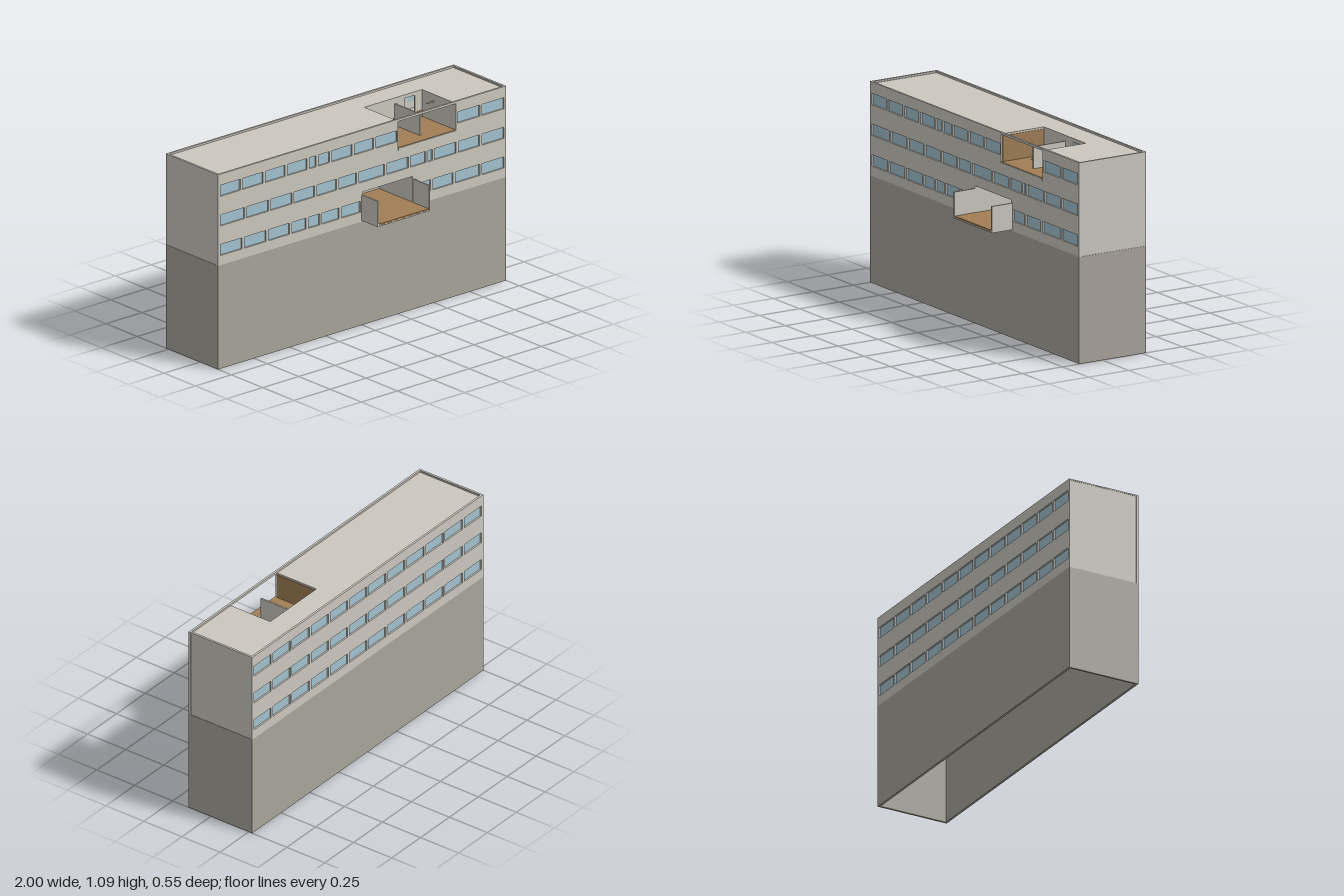
import * as THREE from 'three';

const mat = (name, color) => Object.assign(new THREE.MeshStandardMaterial({ color }), { name });

export function createModel() {
  const wall = mat('pale concrete', 0xcbc7be);
  const stone = mat('grey base', 0xa8a49b);
  const glass = mat('blue glass', 0xa2c1cf);
  const wood = mat('brown floor', 0xa07d54);

  const model = new THREE.Group();
  model.name = 'officeBlock';
  const FRONT = 0.145, BACK = -0.273, T = 0.012, BASE = 0.58, TOP = 1.09, ROOF = 1.08;

  // Box given by its minimum and maximum corners
  function box(name, material, x0, x1, y0, y1, z0, z1, parent = model) {
    const m = new THREE.Mesh(new THREE.BoxGeometry(x1 - x0, y1 - y0, z1 - z0), material);
    m.position.set((x0 + x1) / 2, (y0 + y1) / 2, (z0 + z1) / 2);
    m.name = name;
    parent.add(m);
    return m;
  }
  const rect = (x0, x1, y0, y1, Kind = THREE.Path) => new Kind([
    [x0, y0], [x1, y0], [x1, y1], [x0, y1],
  ].map(p => new THREE.Vector2(...p)));

  // Rectangular ring of wall, open above and below
  function ring(name, material, y0, y1) {
    const s = rect(-1, 1, -FRONT, -BACK, THREE.Shape);
    s.holes.push(rect(-1 + T, 1 - T, -FRONT + T, -BACK - T));
    const g = new THREE.ExtrudeGeometry(s, { depth: y1 - y0, bevelEnabled: false });
    g.rotateX(-Math.PI / 2);
    const m = new THREE.Mesh(g, material);
    m.position.y = y0;
    m.name = name;
    model.add(m);
  }

  // Hollow base, deck, storey slab and parapet
  ring('base', stone, 0, BASE);
  box('deck', wall, -1 + T, 1 - T, BASE - 0.008, BASE + 0.004, BACK + T, FRONT - T);
  box('storeySlab', wall, -1 + T, 1 - T, 0.91, 0.925, BACK + T, FRONT - T);
  ring('parapet', wall, ROOF + 0.003, TOP);

  // Roof slab with a notch over the open room
  const notch = { x0: 0.25, x1: 0.65, z: -0.125 };
  const e = 1 - T, f = FRONT - T, b = BACK + T;
  const roofShape = new THREE.Shape([
    [-e, -f], [notch.x0, -f], [notch.x0, -notch.z], [notch.x1, -notch.z],
    [notch.x1, -f], [e, -f], [e, -b], [-e, -b],
  ].map(p => new THREE.Vector2(...p)));
  const roofGeo = new THREE.ExtrudeGeometry(roofShape, { depth: 0.012, bevelEnabled: false });
  roofGeo.rotateX(-Math.PI / 2);
  const roof = new THREE.Mesh(roofGeo, wall);
  roof.position.y = ROOF - 0.012;
  roof.name = 'roof';
  model.add(roof);

  // Facade sheet pierced by windows and room openings
  function facade(name, z, rows, openings, glassZ) {
    const g = new THREE.Group();
    g.name = name;
    const s = rect(-1, 1, BASE, ROOF + 0.003, THREE.Shape);
    openings.forEach(o => s.holes.push(rect(...o)));
    for (const { y, spans } of rows) {
      for (const piers of spans) {
        for (let i = 0; i < piers.length - 1; i++) {
          const x0 = piers[i] + 0.008, x1 = piers[i + 1] - 0.008;
          s.holes.push(rect(x0, x1, y, y + 0.062));
          box('window', glass, x0, x1, y, y + 0.062, glassZ, glassZ + 0.003, g);
        }
      }
    }
    const sheet = new THREE.Mesh(new THREE.ExtrudeGeometry(s, { depth: T, bevelEnabled: false }), wall);
    sheet.position.z = z;
    sheet.name = 'facadeWall';
    g.add(sheet);
    model.add(g);
  }

  const rowY = [0.966, 0.8, 0.634];
  facade('frontFacade', FRONT - T, [
    { y: rowY[0], spans: [
      [-0.993, -0.838, -0.68, -0.527, -0.375, -0.312, -0.218, -0.063, 0.088, 0.25],
      [0.652, 0.825, 0.993]] },
    { y: rowY[1], spans: [
      [-0.993, -0.81, -0.643, -0.48, -0.323, -0.17, -0.03, 0.163, 0.328, 0.45, 0.495, 0.66, 0.823, 0.993]] },
    { y: rowY[2], spans: [
      [-0.993, -0.826, -0.66, -0.496, -0.382, -0.286, -0.152, -0.005],
      [0.36, 0.483, 0.64, 0.825, 0.993]] },
  ], [[0.25, 0.65, 0.928, 1.078], [0.005, 0.35, 0.598, 0.745]], FRONT - T);

  const even = Array.from({ length: 13 }, (_, i) => -0.993 + i * 1.986 / 12);
  facade('backFacade', BACK, rowY.map(y => ({ y, spans: [even] })), [], BACK + T - 0.003);

  // Slightly recessed end walls
  for (const s of [-1, 1]) {
    const x = s * (1 - T / 2 - 0.002);
    box('endWall', wall, x - T / 2, x + T / 2, BASE, ROOF + 0.003, BACK + T, FRONT - T);
  }

  // Open top room with doorway, partition and brown linings
  const top = new THREE.Group();
  top.name = 'topRoom';
  model.add(top);
  const zb = notch.z, fl = 0.93;
  box('floor', wood, 0.25, 0.65, 0.922, fl, zb, FRONT - 0.002, top);
  box('sill', wall, 0.25, 0.65, 0.915, 0.928, FRONT - T, FRONT + 0.003, top);
  box('leftWall', wall, 0.242, 0.25, 0.92, ROOF - 0.001, zb - 0.008, f, top);
  box('rightWall', wall, 0.65, 0.658, 0.92, ROOF - 0.001, zb - 0.008, f, top);
  box('sideLining', wood, 0.25, 0.253, fl, 1.07, zb, f, top);
  for (const [x0, x1] of [[0.25, 0.53], [0.6, 0.65]]) {
    box('backWall', wall, x0, x1, 0.92, ROOF - 0.001, zb - 0.008, zb, top);
    box('wainscot', wood, x0, x1, fl, 0.966, zb, zb + 0.003, top);
  }
  box('lintel', wall, 0.53, 0.6, 1.06, ROOF - 0.001, zb - 0.008, zb, top);
  box('partition', wall, 0.455, 0.464, fl, 1.05, -0.12, 0.08, top);
  box('floorPlate', wall, 0.3, 0.345, fl, fl + 0.004, -0.025, -0.013, top);
  box('shelf', wall, 0.59, 0.635, 1.045, 1.05, -0.025, -0.013, top);

  // Lower room running out onto a balcony
  const low = new THREE.Group();
  low.name = 'balconyRoom';
  model.add(low);
  box('floor', wood, 0.004, 0.351, 0.592, 0.6, zb, 0.272, low);
  box('floorSlab', wall, -0.005, 0.36, 0.586, 0.592, zb, 0.273, low);
  box('backWall', wall, -0.005, 0.36, 0.592, 0.75, zb - 0.008, zb, low);
  box('ceiling', wall, -0.005, 0.36, 0.745, 0.753, zb, f, low);
  for (const x of [-0.005, 0.351]) {
    box('roomSide', wall, x, x + 0.009, 0.592, 0.745, zb, f, low);
    box('balconySide', wall, x, x + 0.009, 0.592, 0.73, FRONT, 0.273, low);
  }
  return model;
}
